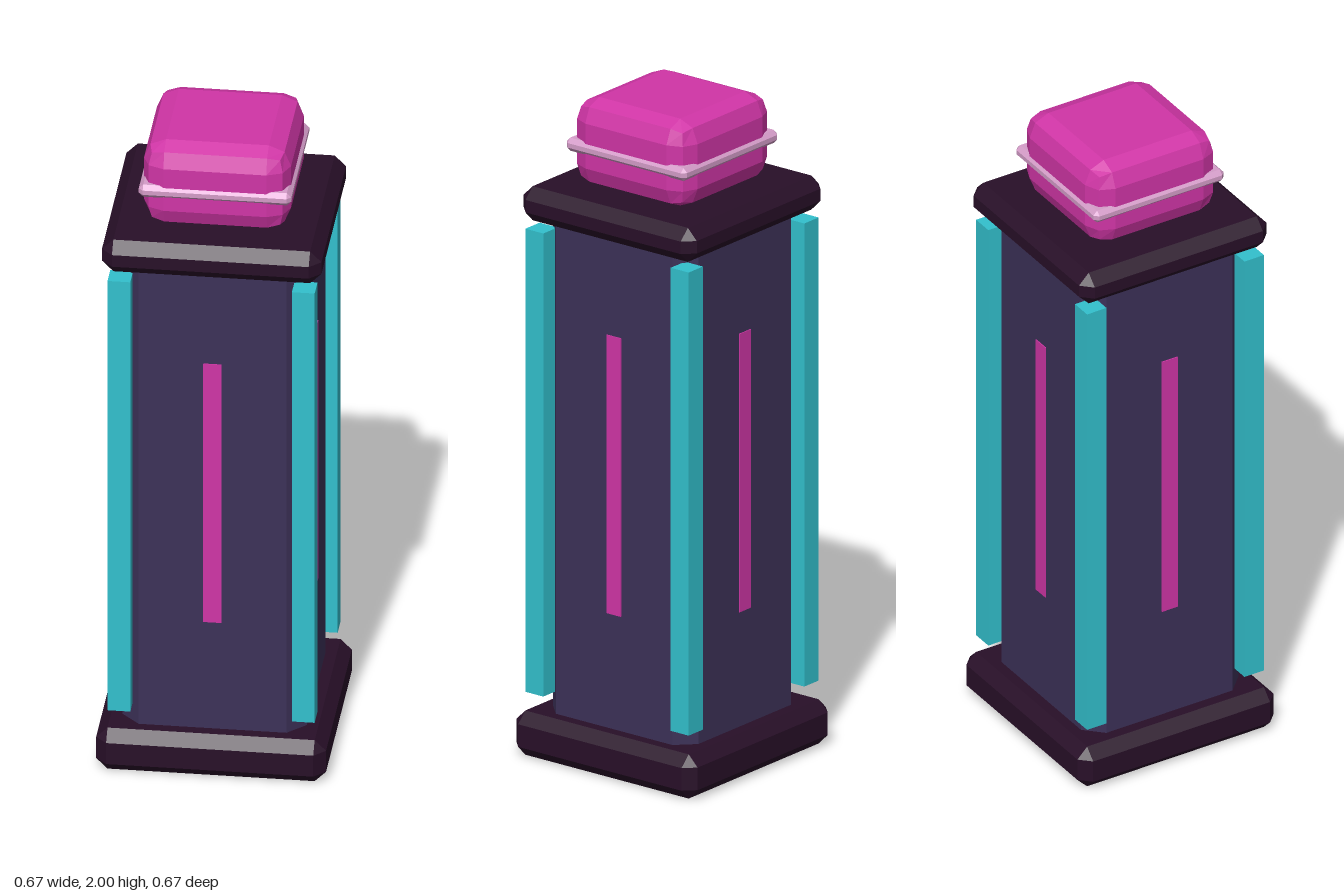
import * as THREE from 'three';
import { RoundedBoxGeometry } from 'three/addons/geometries/RoundedBoxGeometry.js';
import { ConvexGeometry } from 'three/addons/geometries/ConvexGeometry.js';

// Box with every edge cut by one flat chamfer
function chamferBox(w, h, d, c) {
  const points = [];
  for (const x of [-w / 2, w / 2]) for (const y of [-h / 2, h / 2]) for (const z of [-d / 2, d / 2]) {
    const inset = (v) => v - Math.sign(v) * c;
    points.push(
      new THREE.Vector3(x, inset(y), inset(z)),
      new THREE.Vector3(inset(x), y, inset(z)),
      new THREE.Vector3(inset(x), inset(y), z),
    );
  }
  return new ConvexGeometry(points);
}

function material(name, color) {
  const m = new THREE.MeshStandardMaterial({ color });
  m.name = name;
  m.flatShading = true;
  return m;
}

export function createModel() {
  const group = new THREE.Group();
  group.name = 'pillar';
  const dark = material('dark plum', 0x280f28);
  const indigo = material('indigo', 0x3c3158);
  const teal = material('teal', 0x32c0cd);
  const magenta = material('magenta', 0xd035a6);
  const pink = material('pale pink', 0xd49cc8);

  const add = (name, geometry, mat, x, y, z) => {
    const mesh = new THREE.Mesh(geometry, mat);
    mesh.name = name;
    mesh.position.set(x, y, z);
    group.add(mesh);
    return mesh;
  };

  // Foot, shaft and capital
  add('base', chamferBox(0.666, 0.135, 0.666, 0.033), dark, 0, 0.0675, 0);
  add('shaft', chamferBox(0.534, 1.64, 0.534, 0.053), indigo, 0, 0.885, 0);
  add('capital', chamferBox(0.636, 0.104, 0.636, 0.033), dark, 0, 1.683, 0);

  // Rounded head with its band
  add('head', new RoundedBoxGeometry(0.426, 0.265, 0.426, 1, 0.064), magenta, 0, 1.8675, 0);
  add('headBand', chamferBox(0.442, 0.04, 0.442, 0.013), pink, 0, 1.859, 0);

  // Corner posts
  const post = new THREE.BoxGeometry(0.066, 1.414, 0.066);
  for (const x of [-0.267, 0.267]) for (const z of [-0.267, 0.267]) {
    add('cornerPost', post, teal, x, 0.899, z);
  }

  // Glowing stripe on each side
  const stripe = new THREE.BoxGeometry(0.053, 0.85, 0.006);
  for (let i = 0; i < 4; i++) {
    const a = (i * Math.PI) / 2;
    add('stripe', stripe, magenta, Math.sin(a) * 0.267, 0.91, Math.cos(a) * 0.267).rotation.y = a;
  }

  return group;
}
